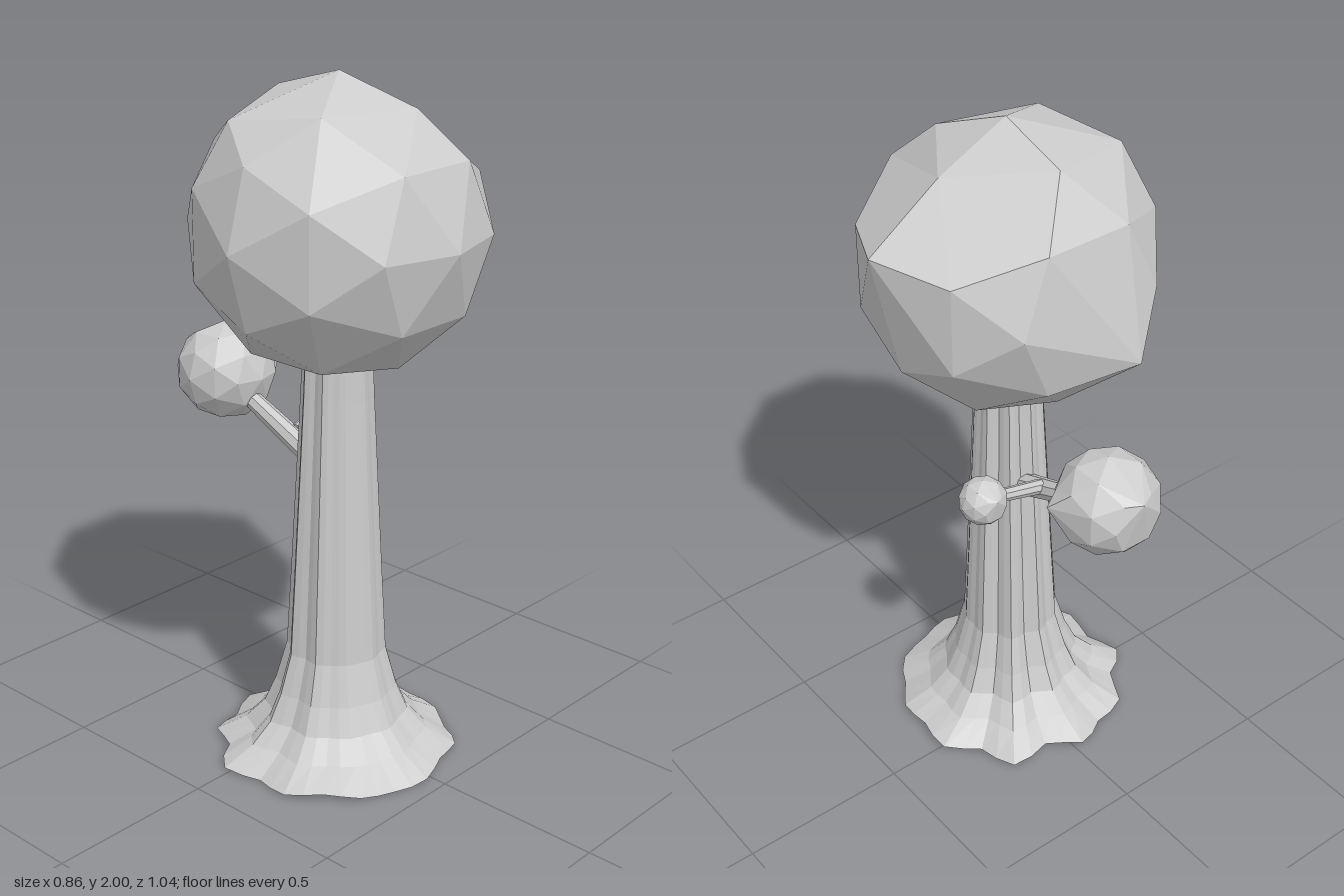
import * as THREE from 'three';

const material = new THREE.MeshStandardMaterial({ color: 0xcccccc, flatShading: true, side: THREE.DoubleSide });
const AXIS_X = -0.025, AXIS_Z = 0.1;

function addMesh(group, name, geometry) {
  const mesh = new THREE.Mesh(geometry, material);
  mesh.name = name;
  group.add(mesh);
  return mesh;
}

// Faceted ball; each pull moves the vertex found at one direction to a new place
function foliage(radius, pulls, floor = -1) {
  const geometry = new THREE.IcosahedronGeometry(1, 1).rotateY(Math.PI / 2);
  const pos = geometry.attributes.position;
  const v = new THREE.Vector3();
  for (let i = 0; i < pos.count; i++) {
    v.fromBufferAttribute(pos, i);
    for (const [from, to] of pulls) {
      if (v.distanceTo(new THREE.Vector3(...from)) < 0.06) {
        v.set(...to);
        break;
      }
    }
    v.y = Math.max(v.y, floor);
    pos.setXYZ(i, v.x, v.y, v.z);
  }
  geometry.scale(radius, radius, radius);
  geometry.computeVertexNormals();
  return geometry;
}

// Fluted trunk flaring into a scalloped, open root skirt
function trunkGeometry() {
  const profile = [
    [0.01, 0.345], [0.06, 0.26], [0.12, 0.205], [0.2, 0.172], [0.32, 0.14],
    [0.6, 0.125], [0.9, 0.11], [1.1, 0.1], [1.3, 0.092],
  ];
  const sides = 40;
  const geometry = new THREE.CylinderGeometry(1, 1, 1, sides, profile.length - 1, true);
  const pos = geometry.attributes.position;
  for (let i = 0; i < pos.count; i++) {
    const row = profile.length - 1 - Math.floor(i / (sides + 1));
    const angle = ((i % (sides + 1)) % sides) / sides * Math.PI * 2;
    const [y, r] = profile[row];
    // flutes are shallow at the front and deep on the sides and back
    const depth = 0.045 - 0.025 * Math.cos(angle);
    const flute = Math.cos(10 * angle) + 0.5 * Math.cos(7 * angle + 1);
    const radius = r * (1 + depth * flute);
    const lift = row === 0 ? 0.008 * Math.sin(5 * angle) : 0;
    pos.setXYZ(i, Math.sin(angle) * radius, y + lift, Math.cos(angle) * radius);
  }
  geometry.computeVertexNormals();
  return geometry;
}

// Tapered limb between two points
function branch(start, end, r0, r1) {
  const a = new THREE.Vector3(...start), b = new THREE.Vector3(...end);
  const dir = b.clone().sub(a);
  const geometry = new THREE.CylinderGeometry(r1, r0, dir.length(), 8);
  geometry.applyQuaternion(new THREE.Quaternion().setFromUnitVectors(new THREE.Vector3(0, 1, 0), dir.normalize()));
  const mid = a.add(b).multiplyScalar(0.5);
  return geometry.translate(mid.x, mid.y, mid.z);
}

export function createModel() {
  const group = new THREE.Group();
  group.name = 'tree';

  addMesh(group, 'trunk', trunkGeometry()).position.set(AXIS_X, 0, AXIS_Z);

  // Main crown, with a few corners drawn out
  const crownPulls = [
    [[1, 0, 0], [1.05, 0.38, 0]],
    [[0.851, 0.526, 0], [1.05, 0.38, 0]],
    [[0, 0, -1], [-0.26, -0.38, -1.03]],
    [[-0.309, -0.5, -0.809], [-0.26, -0.38, -1.03]],
    [[0.5, 0.809, 0.309], [0.52, 0.75, 0]],
    [[0.5, 0.809, -0.309], [0.52, 0.75, 0]],
    [[-0.5, 0.809, -0.309], [-0.67, 0.74, -0.31]],
    [[0, 0.851, 0.526], [0.17, 0.8, 0.5]],
  ];
  addMesh(group, 'crown', foliage(0.42, crownPulls, -0.84)).position.set(AXIS_X, 1.58, AXIS_Z);

  // Rear branch and its side twig
  addMesh(group, 'rearBranch', branch([-0.01, 0.86, 0.03], [0, 1.02, -0.33], 0.035, 0.025));
  addMesh(group, 'sideTwig', branch([0.01, 0.93, -0.09], [0.2, 0.983, -0.095], 0.022, 0.018));

  // Leaf clusters on the branch tips
  const clusterPulls = [
    [[1, 0, 0], [1.06, 0.1, 0.42]],
    [[0.809, 0.5, 0.309], [1.06, 0.1, 0.42]],
    [[0, 0, -1], [0, 0.5, -0.98]],
    [[0, 0.851, -0.526], [0, 0.5, -0.98]],
  ];
  addMesh(group, 'rearLeafCluster', foliage(0.15, clusterPulls)).position.set(0.005, 1.055, -0.373);
  const small = addMesh(group, 'smallLeafCluster', foliage(0.07, clusterPulls.slice(2)));
  small.position.set(0.215, 0.985, -0.095);

  return group;
}
